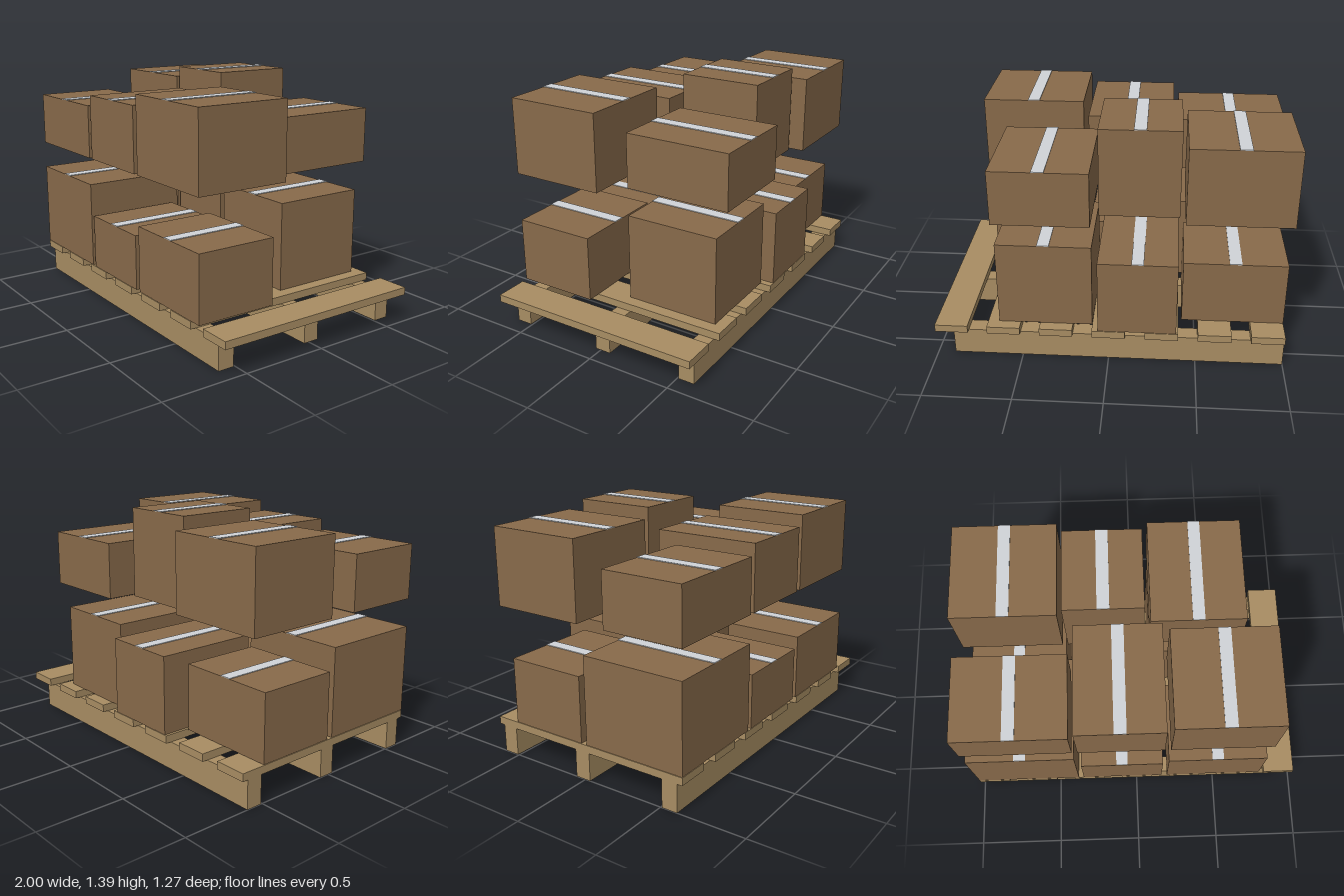
import * as THREE from 'three';

const mat = (name, hex) => {
  const m = new THREE.MeshStandardMaterial({ color: hex });
  m.name = name;
  return m;
};

// Box given by its minimum and maximum on each axis
function block(name, material, [x0, x1], [y0, y1], [z0, z1]) {
  const mesh = new THREE.Mesh(new THREE.BoxGeometry(x1 - x0, y1 - y0, z1 - z0), material);
  mesh.position.set((x0 + x1) / 2, (y0 + y1) / 2, (z0 + z1) / 2);
  mesh.name = name;
  return mesh;
}

export function createModel() {
  const cardboard = mat('cardboard brown', 0x886a4a);
  const wood = mat('pallet wood', 0xa88d63);
  const tape = mat('tape grey', 0xd0d4d8);

  const model = new THREE.Group();
  model.name = 'loadedPallet';

  // Pallet: three long beams under seven cross slats
  const pallet = new THREE.Group();
  pallet.name = 'pallet';
  for (const z of [-0.555, -0.015, 0.555]) {
    pallet.add(block('beam', wood, [-1, 0.9], [0, 0.162], [z - 0.047, z + 0.047]));
  }
  for (let i = 0; i < 7; i++) {
    const x = -0.905 + i * 1.81 / 6;
    pallet.add(block('slat', wood, [x - 0.095, x + 0.095], [0.162, 0.206], [-0.635, 0.635]));
  }
  model.add(pallet);

  // Each row has three columns; boxes share the column's x range in both layers
  const outer = 0.635, inner = 0.018;
  const columns = {
    front: [[-1, -0.368], [-0.337, 0.156], [0.19, 0.777]],
    back: [[-1, -0.415], [-0.385, 0.06], [0.095, 0.633]],
  };
  // [top height, inner z, outer z] of every box, as distances from the centre line
  const layers = [
    {
      name: 'lower', base: 0.209,
      front: [[0.715, inner, outer], [0.527, 0.08, outer], [0.59, 0.158, outer]],
      back: [[0.59, inner, 0.492], [0.653, inner, outer], [0.715, inner, 0.572]],
    },
    {
      name: 'upper', base: 0.877,
      front: [[1.191, 0.158, outer], [1.255, inner, outer], [1.319, 0.08, outer]],
      back: [[1.319, inner, 0.572], [1.382, inner, 0.492], [1.191, inner, outer]],
    },
  ];

  for (const layer of layers) {
    const group = new THREE.Group();
    group.name = layer.name + 'Layer';
    for (const row of ['front', 'back']) {
      layer[row].forEach(([top, near, far], i) => {
        const xs = columns[row][i];
        const zs = row === 'front' ? [near, far] : [-far, -near];
        const mid = (xs[0] + xs[1]) / 2;
        const carton = new THREE.Group();
        carton.name = row + 'Carton' + (i + 1);
        carton.add(block('cartonBody', cardboard, xs, [layer.base, top], zs));
        // Strip of packing tape along the top seam
        carton.add(block('tapeStrip', tape, [mid - 0.034, mid + 0.034], [top, top + 0.004], zs));
        group.add(carton);
      });
    }
    model.add(group);
  }
  return model;
}
